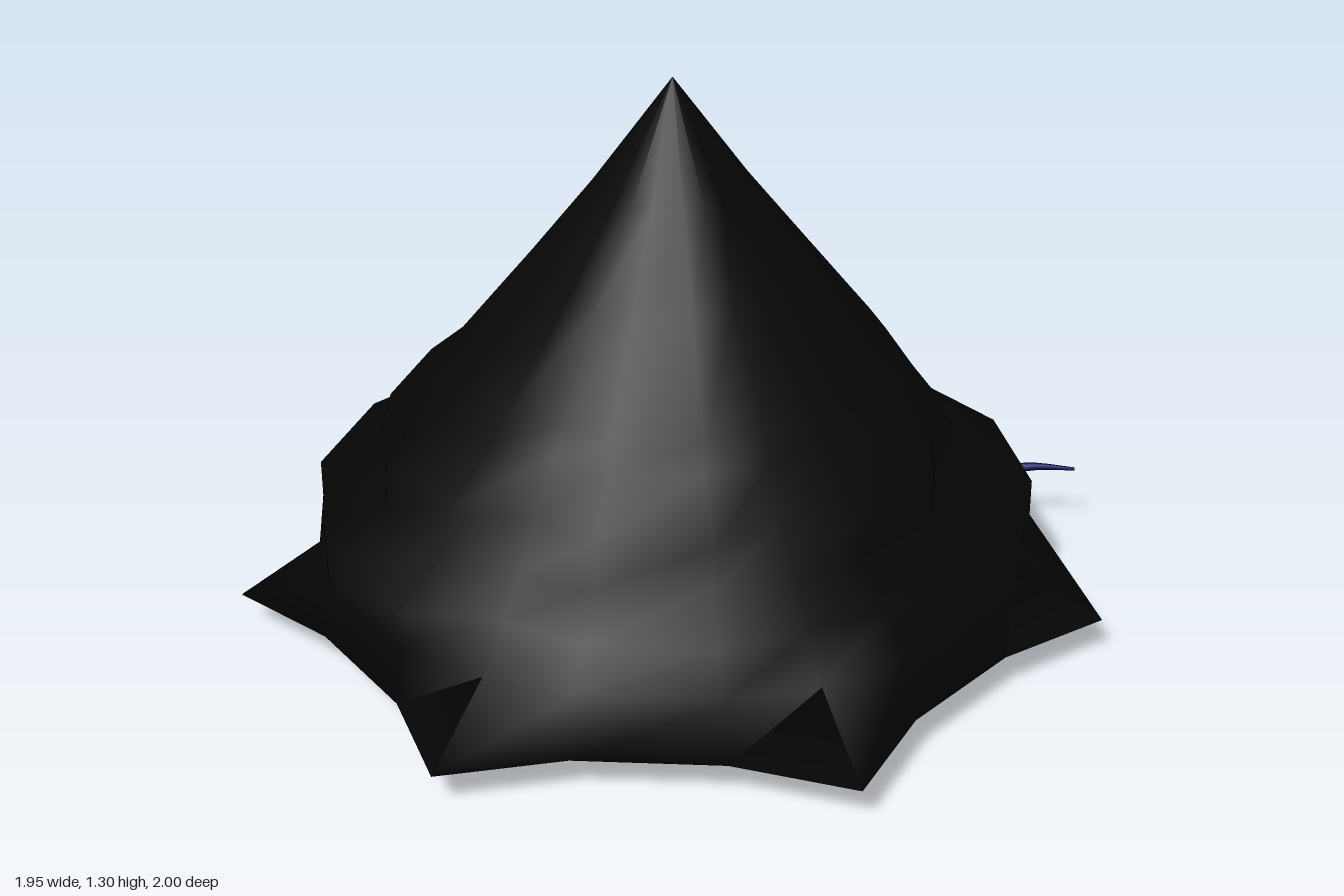
import * as THREE from 'three';

const black = new THREE.MeshStandardMaterial({ color: 0x060606 });
black.name = 'black';
const navy = new THREE.MeshStandardMaterial({ color: 0x08085c });
navy.name = 'dark navy';

const CENTRE_X = -0.05;

// Pointed cloak with a closed hem: seven ridges with a wide fold between each pair.
// Rows of [height, ridge radius, fold radius or one radius for each fold]
function cloakGeometry() {
  const rows = [
    [0.09, 1.026, 0.867],
    [0.22, 0.825, [0.845, 0.82, 0.82, 0.85, 0.85, 0.845, 0.845]],
    [0.31, 0.75, [0.845, 0.77, 0.77, 0.85, 0.85, 0.85, 0.845]],
    [0.40, 0.68, [0.69, 0.67, 0.68, 0.705, 0.70, 0.70, 0.69]],
    [0.50, 0.61, [0.615, 0.67, 0.66, 0.70, 0.67, 0.66, 0.615]],
    [0.61, 0.54, [0.54, 0.55, 0.55, 0.56, 0.54, 0.53, 0.54]],
    [0.67, 0.49, [0.495, 0.52, 0.515, 0.51, 0.50, 0.485, 0.495]],
    [0.88, 0.335, 0.325],
    [1.06, 0.185, 0.18],
    [1.305, 0, 0],
  ];
  const ridges = 7, cols = ridges * 3, step = (Math.PI * 2) / ridges;
  const offsets = [0, 0.285, 0.715];
  const pos = [], index = [];
  rows.forEach(([y, ridge, fold]) => {
    for (let j = 0; j < cols; j++) {
      const k = Math.floor(j / 3);
      const a = (k + offsets[j % 3]) * step;
      const foldRadius = Array.isArray(fold) ? fold[k] : fold;
      const r = j % 3 === 0 ? ridge : foldRadius;
      pos.push(CENTRE_X + Math.cos(a) * r, y, Math.sin(a) * r);
    }
  });
  const hemCentre = pos.length / 3;
  pos.push(CENTRE_X, rows[0][0], 0);
  for (let j = 0; j < cols; j++) {
    const next = (j + 1) % cols;
    for (let i = 0; i < rows.length - 1; i++) {
      const a = i * cols + j, c = i * cols + next;
      index.push(a, a + cols, c);
      if (i < rows.length - 2) index.push(c, a + cols, c + cols);
    }
    index.push(hemCentre, j, next);
  }
  const geo = new THREE.BufferGeometry();
  geo.setAttribute('position', new THREE.Float32BufferAttribute(pos, 3));
  geo.setIndex(index);
  geo.computeVertexNormals();
  return geo;
}

// Curved feeler that tapers to a point; side is +1 or -1 along z
function feelerGeometry(side) {
  const curve = new THREE.CatmullRomCurve3(
    [[0.64, 0.09, 0.135], [0.77, 0.15, 0.205], [0.85, 0.175, 0.265], [0.935, 0.175, 0.34]]
      .map(([x, y, z]) => new THREE.Vector3(x, y, z * side)));
  const segs = 12, sides = 8;
  const geo = new THREE.TubeGeometry(curve, segs, 0.026, sides);
  const p = geo.attributes.position, v = new THREE.Vector3();
  for (let i = 0; i < p.count; i++) {
    const t = Math.floor(i / (sides + 1)) / segs;
    const c = curve.getPointAt(t);
    v.fromBufferAttribute(p, i).sub(c).multiplyScalar(1 - 0.85 * t).add(c);
    p.setXYZ(i, v.x, v.y, v.z);
  }
  geo.computeVertexNormals();
  return geo;
}

export function createModel() {
  const model = new THREE.Group();
  const add = (name, geo, mat) => {
    const mesh = new THREE.Mesh(geo, mat);
    mesh.name = name;
    model.add(mesh);
    return mesh;
  };

  add('cloak', cloakGeometry(), black);

  // Flattened oval body under the hem
  const body = add('body', new THREE.SphereGeometry(1, 16, 4), black);
  body.scale.set(0.715, 0.05, 0.505);
  body.position.set(0.032, 0.053, 0);

  add('leftFeeler', feelerGeometry(1), navy);
  add('rightFeeler', feelerGeometry(-1), black);
  return model;
}
